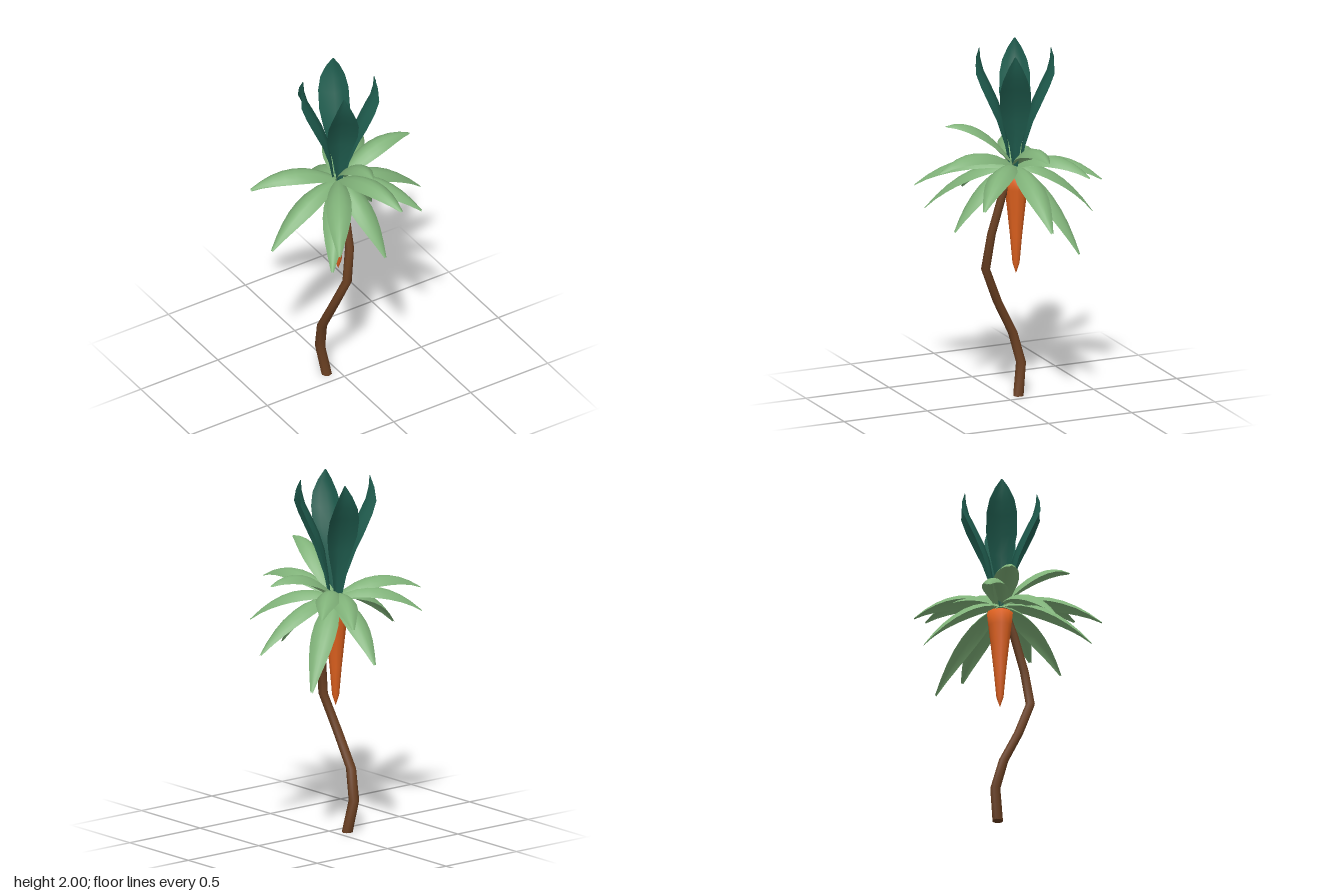
import * as THREE from 'three';

const mat = (name, color, side = THREE.FrontSide) => {
  const m = new THREE.MeshStandardMaterial({ color, side });
  m.name = name;
  return m;
};

// Skin a list of rows of points; closed joins each row into a ring
function loft(rows, closed = false) {
  const n = rows[0].length, index = [];
  for (let i = 0; i < rows.length - 1; i++) {
    for (let j = 0; j < (closed ? n : n - 1); j++) {
      const a = i * n + j, b = i * n + (j + 1) % n;
      index.push(a, a + n, b, b, a + n, b + n);
    }
  }
  const g = new THREE.BufferGeometry().setFromPoints(rows.flat());
  g.setIndex(index);
  g.computeVertexNormals();
  return g;
}

const V = (x, y, z) => new THREE.Vector3(x, y, z);
const CX = -0.015, CZ = -0.035; // crown axis

// Arching, drooping leaf with a rounded ridge, ending at the given tip
function leafGeometry([tx, ty, tz], halfWidth = 0.07) {
  const baseY = 1.325, dx = tx - CX, dz = tz - CZ, len = Math.hypot(dx, dz);
  const sx = dz / len, sz = -dx / len;
  const widths = [0.4, 0.6, 0.83, 0.98, 1, 0.9, 0.7, 0.42, 0.1];
  return loft(widths.map((w, i) => {
    const t = i / (widths.length - 1);
    const y = baseY + (ty - baseY) * t + 0.37 * t * (1 - t);
    return [-1, -0.75, -0.4, 0, 0.4, 0.75, 1].map(s => {
      const o = s * w * halfWidth;
      return V(CX + dx * t + sx * o, y - 0.046 * w * s * s, CZ + dz * t + sz * o);
    });
  }));
}

// Upright petal keeled toward the axis; stations are height, outward reach, half width, keel depth
function petalGeometry(angle) {
  const stations = [
    [1.31, 0.03, 0.012, 0.008], [1.45, 0.055, 0.03, 0.018], [1.6, 0.1, 0.066, 0.04],
    [1.7, 0.143, 0.085, 0.05], [1.8, 0.188, 0.084, 0.05], [1.87, 0.215, 0.068, 0.043],
    [1.94, 0.212, 0.038, 0.022], [2.0, 0.197, 0.003, 0.002],
  ];
  const dx = Math.cos(angle), dz = Math.sin(angle);
  return loft(stations.map(([y, r, w, keel]) =>
    [[-1, 0], [-0.55, 0.6], [0, 1], [0.55, 0.6], [1, 0]].map(([s, k]) => {
      const out = r - keel * k;
      return V(CX + dx * out - dz * s * w, y, CZ + dz * out + dx * s * w);
    })));
}

export function createModel() {
  const model = new THREE.Group();
  const bark = mat('bark brown', 0x6b4022);
  const rootOrange = mat('root orange', 0xe0621f);
  const leafGreen = mat('leaf green', 0x80b279, THREE.DoubleSide);
  const petalGreen = mat('dark petal green', 0x1f5c4e, THREE.DoubleSide);

  const add = (name, geometry, material, parent = model) => {
    const mesh = new THREE.Mesh(geometry, material);
    mesh.name = name;
    parent.add(mesh);
    return mesh;
  };

  // Crooked trunk
  const path = [
    [-0.065, 0, -0.078], [-0.09, 0.18, -0.105], [-0.105, 0.35, -0.062], [-0.092, 0.54, 0.035],
    [-0.06, 0.745, 0.122], [-0.03, 0.95, 0.1], [-0.022, 1.16, 0.04], [-0.015, 1.31, -0.015],
  ];
  const sides = 8;
  add('trunk', loft(path.map(([x, y, z], i) => {
    const r = 0.03 - 0.001 * i;
    return Array.from({ length: sides }, (_, j) => {
      const a = j / sides * Math.PI * 2;
      return V(x + r * Math.cos(a), y, z + r * Math.sin(a));
    });
  }), true), bark);
  const cap = add('trunkBase', new THREE.CircleGeometry(0.03, sides), bark);
  cap.rotation.x = Math.PI / 2;
  cap.position.set(-0.065, 0, -0.078);

  // Hanging tapered root
  const profile = [[0, 0.715], [0.02, 0.775], [0.034, 0.93], [0.05, 1.08], [0.064, 1.2], [0.072, 1.28], [0, 1.3]]
    .map(([r, y]) => new THREE.Vector2(r, y));
  add('hangingRoot', new THREE.LatheGeometry(profile, 10), rootOrange).position.set(-0.014, 0, -0.04);

  // Leaf crown, listed by tip position
  const leaves = new THREE.Group();
  leaves.name = 'leafCrown';
  model.add(leaves);
  [
    [0.06, 1.04, -0.465], [0.205, 1.26, -0.455], [0.325, 1.31, -0.33], [0.34, 0.89, -0.26],
    [0.505, 1.08, -0.02], [0.44, 1.46, -0.03], [0.31, 1.19, 0.3], [0.08, 1.37, 0.46],
    [-0.05, 1.59, 0.365], [-0.31, 1.2, 0.435], [-0.315, 1.06, 0.37], [-0.51, 1.09, 0.06],
    [-0.485, 1.34, -0.195], [-0.41, 1.24, -0.3], [0.04, 1.01, 0.355],
  ].forEach(tip => add('leaf', leafGeometry(tip), leafGreen, leaves));

  // Four upright petals
  const petals = new THREE.Group();
  petals.name = 'petals';
  model.add(petals);
  for (let i = 0; i < 4; i++) add('petal', petalGeometry(0.42 + i * Math.PI / 2), petalGreen, petals);

  return model;
}
